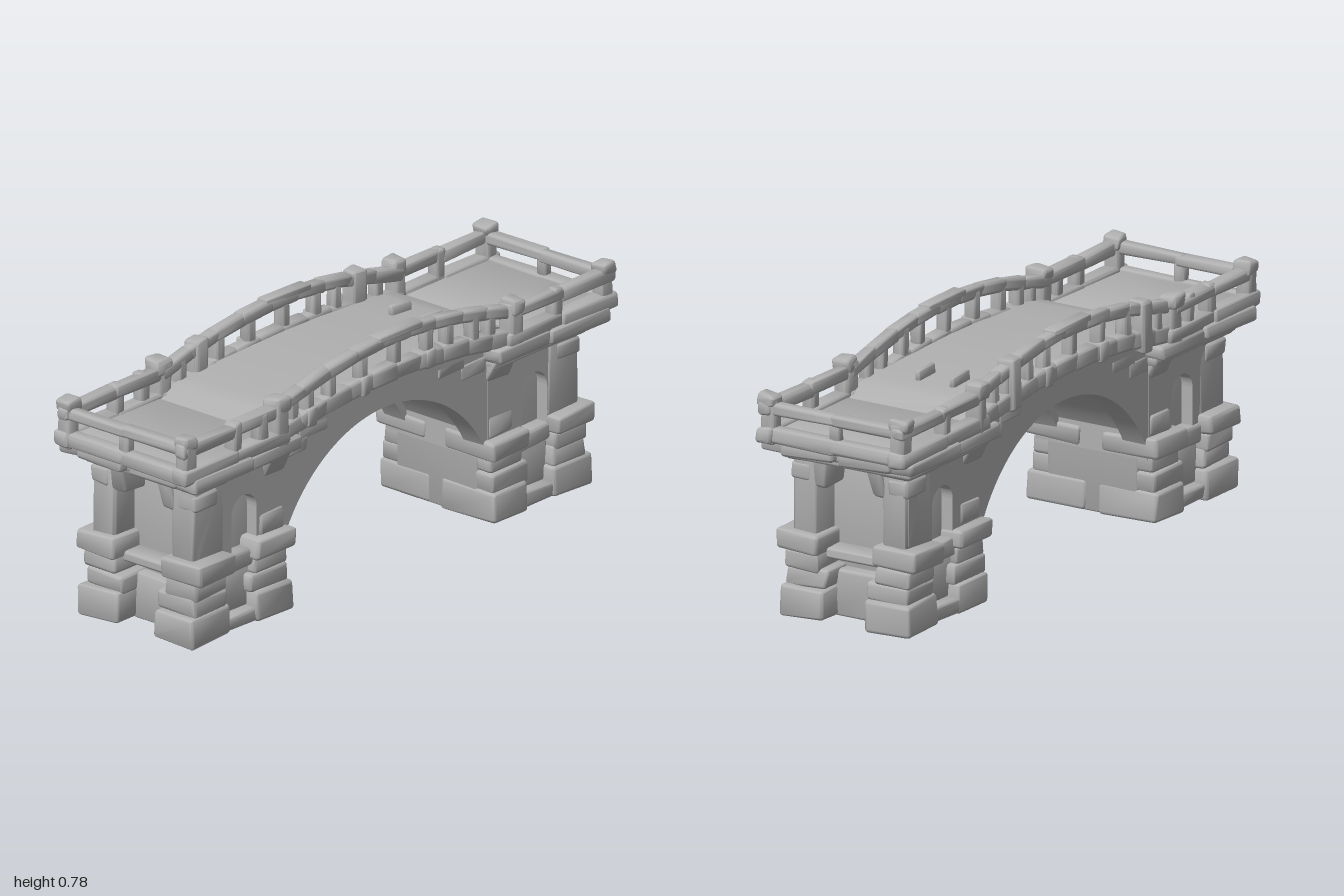
import * as THREE from 'three';
import { toCreasedNormals } from 'three/addons/utils/BufferGeometryUtils.js';
import { RoundedBoxGeometry } from 'three/addons/geometries/RoundedBoxGeometry.js';

export function createModel() {
  const model = new THREE.Group();
  model.name = 'stoneBridge';
  const stone = new THREE.MeshStandardMaterial({ color: 0xb0b0b0 });
  stone.name = 'grey stone';

  let seed = 7;
  const rand = () => {
    seed = (seed * 16807) % 2147483647;
    return (seed / 2147483647) * 2 - 1;
  };

  function add(name, geometry, parent = model) {
    const mesh = new THREE.Mesh(geometry, stone);
    mesh.name = name;
    parent.add(mesh);
    return mesh;
  }

  // Rounded stone whose eight corners are nudged a little
  function block(name, x, y, z, w, h, d, rough = 0.006, parent = model) {
    const g = new RoundedBoxGeometry(w, h, d, 2, Math.min(0.012, Math.min(w, h, d) * 0.28));
    const corners = [];
    for (let i = 0; i < 8; i++) corners.push([rand() * rough, rand() * rough, rand() * rough]);
    const p = g.attributes.position;
    for (let i = 0; i < p.count; i++) {
      const c = [p.getX(i), p.getY(i), p.getZ(i)];
      const t = [c[0] / w + 0.5, c[1] / h + 0.5, c[2] / d + 0.5];
      for (let k = 0; k < 8; k++) {
        const f = (k & 1 ? t[0] : 1 - t[0]) * (k & 2 ? t[1] : 1 - t[1]) * (k & 4 ? t[2] : 1 - t[2]);
        for (let a = 0; a < 3; a++) c[a] += corners[k][a] * f;
      }
      p.setXYZ(i, c[0], c[1], c[2]);
    }
    const mesh = add(name, toCreasedNormals(g, 0.7), parent);
    mesh.position.set(x, y, z);
    return mesh;
  }

  function extrude(name, shape, z0, z1, parent) {
    const g = new THREE.ExtrudeGeometry(shape, { depth: z1 - z0, bevelEnabled: false, curveSegments: 32 });
    g.translate(0, 0, z0);
    return add(name, toCreasedNormals(g, 0.5), parent);
  }

  const arc = (x) => Math.max(0, 1 - (x / 0.52) ** 2);
  const railY = (x) => 0.678 + 0.078 * arc(x);
  const beamY = (x) => 0.592 + 0.054 * arc(x);

  // Deck line: a short ramp at each end, then a gentle rise
  const deckLine = [[0.58, 0.6], [0.56, 0.603], [0.5, 0.632], [0.44, 0.642], [0.3, 0.65], [0.15, 0.657], [0, 0.66]];
  const deckPoints = [...deckLine, ...deckLine.slice(0, -1).reverse().map(([x, y]) => [-x, y])];

  // Arch band between an underside circle and the deck line
  function archShape(radius) {
    const s = new THREE.Shape();
    const a = Math.acos(0.46 / radius);
    s.moveTo(0.58, 0.2);
    for (const [x, y] of deckPoints) s.lineTo(x, y - 0.01);
    s.lineTo(-0.58, 0.2);
    s.lineTo(-0.46, 0.2);
    s.absarc(0, 0, radius, Math.PI - a, a, true);
    s.lineTo(0.46, 0.2);
    return s;
  }
  extrude('archVault', archShape(0.54), -0.13, 0.13);
  for (const s of [-1, 1]) {
    extrude('archWall', archShape(0.517), Math.min(s * 0.12, s * 0.203), Math.max(s * 0.12, s * 0.203));
    // Facing stones barely proud of the wall
    for (const [x, y, w] of [[-0.41, 0.51, 0.1], [-0.33, 0.55, 0.13], [0.4, 0.52, 0.11], [0.3, 0.56, 0.12]])
      block('wallStone', x, y, s * 0.195, w, 0.05, 0.024, 0.003);
  }

  // Deck paving
  const deck = new THREE.Shape();
  deck.moveTo(-0.58, 0.57);
  deck.lineTo(0.58, 0.57);
  for (const [x, y] of deckPoints) deck.lineTo(x, y);
  extrude('deck', deck, -0.215, 0.215);
  for (const z of [-0.065, 0.06]) {
    const slat = block('looseSlat', 0.37, 0.658, z, 0.09, 0.036, 0.018, 0.002);
    slat.rotation.z = -0.06;
  }

  // Piers and end platforms
  for (const sx of [-1, 1]) {
    const pier = new THREE.Group();
    pier.name = sx > 0 ? 'leftPier' : 'rightPier';
    model.add(pier);
    // Block given by its limits, mirrored by sx and sz
    const part = (name, sz, x0, x1, y0, y1, z0, z1, r) => block(name, sx * (x0 + x1) / 2, (y0 + y1) / 2,
      sz * (z0 + z1) / 2, x1 - x0, y1 - y0, z1 - z0, r, pier);
    // Bracket stone leaning outward as it rises
    const lean = (mesh, kx, kz) => mesh.geometry.applyMatrix4(new THREE.Matrix4().makeShear(0, 0, sx * kx, kz, 0, 0));

    part('pierCore', 1, 0.462, 0.79, 0.0, 0.53, -0.165, 0.165, 0);
    part('endSill', 1, 0.78, 0.86, 0.19, 0.222, -0.105, 0.105, 0.003);
    part('endFooting', 1, 0.7, 0.83, 0.002, 0.15, -0.09, 0.09, 0.004);
    part('corniceCore', 1, 0.46, 0.91, 0.505, 0.54, -0.235, 0.235, 0.003);
    part('platformSlab', 1, 0.46, 0.94, 0.53, 0.575, -0.255, 0.255, 0.004);
    part('platformFloor', 1, 0.56, 0.97, 0.56, 0.603, -0.24, 0.24, 0.002);

    for (const sz of [-1, 1]) {
      // Footing courses, outer and inner corner stones
      part('footStone', sz, 0.74, 0.918, 0.002, 0.1, 0.075, 0.235, 0.006);
      part('footStone', sz, 0.457, 0.62, 0.002, 0.1, 0.02, 0.235, 0.005);
      part('footMiddle', sz, 0.61, 0.75, 0.002, 0.055, 0.1, 0.225, 0.005);
      part('lowerStone', sz, 0.75, 0.9, 0.095, 0.158, 0.072, 0.222, 0.006);
      part('lowerStone', sz, 0.755, 0.9, 0.15, 0.212, 0.1, 0.23, 0.006);
      part('lowerStone', sz, 0.465, 0.635, 0.095, 0.16, 0.03, 0.225, 0.005);
      part('lowerStone', sz, 0.467, 0.615, 0.155, 0.212, 0.03, 0.218, 0.005);
      part('lowerPanel', sz, 0.6, 0.76, 0.05, 0.2, 0.1, 0.19, 0.003);
      part('bandStone', sz, 0.74, 0.91, 0.207, 0.272, 0.095, 0.255, 0.006);
      part('bandStone', sz, 0.452, 0.625, 0.207, 0.27, 0.04, 0.245, 0.005);
      part('nicheSill', sz, 0.61, 0.75, 0.185, 0.245, 0.1, 0.212, 0.004);
      // Upper corner pillar
      part('cornerPillar', sz, 0.74, 0.882, 0.26, 0.53, 0.114, 0.208, 0.005);
      // Facing with round-headed niche
      const f = new THREE.Shape();
      f.moveTo(0.465, 0.22); f.lineTo(0.865, 0.22); f.lineTo(0.865, 0.53); f.lineTo(0.465, 0.53);
      const niche = new THREE.Path();
      niche.moveTo(0.622, 0.23);
      niche.lineTo(0.622, 0.368);
      niche.absarc(0.68, 0.368, 0.058, Math.PI, 0, true);
      niche.lineTo(0.738, 0.23);
      f.holes.push(niche);
      const facing = extrude('nicheFacing', f, -0.025, 0.025, pier);
      facing.position.z = sz * 0.18;
      if (sx < 0) facing.position.x = -1.33;
      // Uneven quoins beside the niche
      part('quoin', sz, 0.47, 0.58, 0.27, 0.34, 0.15, 0.211, 0.004);
      part('quoin', sz, 0.775, 0.885, 0.43, 0.49, 0.14, 0.214, 0.004);
      // Corbels under the platform
      lean(part('sideCorbel', sz, 0.465, 0.565, 0.455, 0.535, 0.16, 0.228, 0.006), 0, sz * 0.45);
      lean(part('endCorbel', sz, 0.78, 0.895, 0.42, 0.535, 0.072, 0.122, 0.006), 0.25, -sz * 0.1);
      lean(part('cornerCornice', sz, 0.75, 0.905, 0.495, 0.54, 0.12, 0.238, 0.004), 0.4, sz * 0.5);
      // Platform edge stones
      part('edgeStone', sz, 0.45, 0.69, 0.53, 0.577, 0.17, 0.268, 0.005);
      part('edgeStone', sz, 0.68, 0.955, 0.532, 0.578, 0.17, 0.277, 0.005);
      part('endEdgeStone', sz, 0.85, 0.965, 0.53, 0.575, 0.01, 0.2, 0.005);
      part('lowerSideRail', sz, 0.5, 0.75, 0.567, 0.616, 0.212, 0.266, 0.004);
      part('lowerSideRail', sz, 0.74, 0.995, 0.566, 0.616, 0.212, 0.27, 0.004);
      part('lowerEndRail', sz, 0.935, 0.985, 0.565, 0.612, -0.01, 0.24, 0.004);
      // Platform railing
      part('cornerPost', sz, 0.93, 0.982, 0.56, 0.71, 0.21, 0.264, 0.005);
      part('cornerCap', sz, 0.927, 0.987, 0.675, 0.718, 0.205, 0.272, 0.008);
      part('innerPost', sz, 0.51, 0.565, 0.56, 0.715, 0.21, 0.265, 0.006);
      part('innerCap', sz, 0.508, 0.57, 0.675, 0.724, 0.207, 0.272, 0.007);
      for (const x of sx < 0 ? [0.62, 0.74] : [0.73])
        part('baluster', sz, x - 0.021, x + 0.021, 0.6, 0.7, 0.218, 0.262, 0.004);
      part('upperSideRail', sz, 0.53, 0.76, 0.656, 0.698, 0.215, 0.262, 0.005);
      part('upperSideRail', sz, 0.74, 0.99, 0.654, 0.696, 0.217, 0.264, 0.005);
      part('upperEndRail', sz, 0.935, 0.98, 0.656, 0.692, -0.01, 0.25, 0.005);
    }
    part('endBaluster', 1, 0.94, 0.975, 0.6, 0.67, -0.02, 0.02, 0.004);
  }

  // Arched parapets: beams of tilted stones, balusters and posts
  function arched(name, curve, z, h, d, count, reach) {
    for (let i = 0; i < count; i++) {
      const x0 = -reach + (i * 2 * reach) / count, x1 = x0 + (2 * reach) / count;
      const dy = curve(x1) - curve(x0);
      const m = block(name, (x0 + x1) / 2, (curve(x0) + curve(x1)) / 2, z,
        Math.hypot(x1 - x0, dy) + 0.022, h, d, 0.003);
      m.rotation.z = Math.atan2(dy, x1 - x0);
    }
  }
  for (const s of [-1, 1]) {
    const z = s * 0.228;
    arched('lowerParapetBeam', beamY, z, 0.056, 0.05, 10, 0.54);
    arched('upperParapetRail', railY, z, 0.042, 0.044, 9, 0.54);
    for (const x of [-0.46, -0.39, -0.29, -0.145, 0.01, 0.155, 0.25, 0.365, 0.44]) {
      const y0 = beamY(x), y1 = railY(x);
      block('parapetBaluster', x, (y0 + y1) / 2, z, 0.038, y1 - y0 + 0.02, 0.04, 0.003);
    }
    // Small feet on the outside of the lower beam
    for (const x of [-0.39, -0.145, 0.155])
      block('balusterFoot', x, beamY(x), s * 0.244, 0.042, 0.062, 0.03, 0.003);
    block('railCapStone', 0.02, 0.768, z, 0.2, 0.022, 0.046, 0.003);
  }
  // Two stouter posts on the rear parapet
  for (const x of [-0.38, 0.345]) {
    const y0 = beamY(x) - 0.04, y1 = railY(x) + 0.03;
    block('rearPost', x, (y0 + y1) / 2, -0.232, 0.054, y1 - y0, 0.062, 0.006);
  }
  return model;
}
